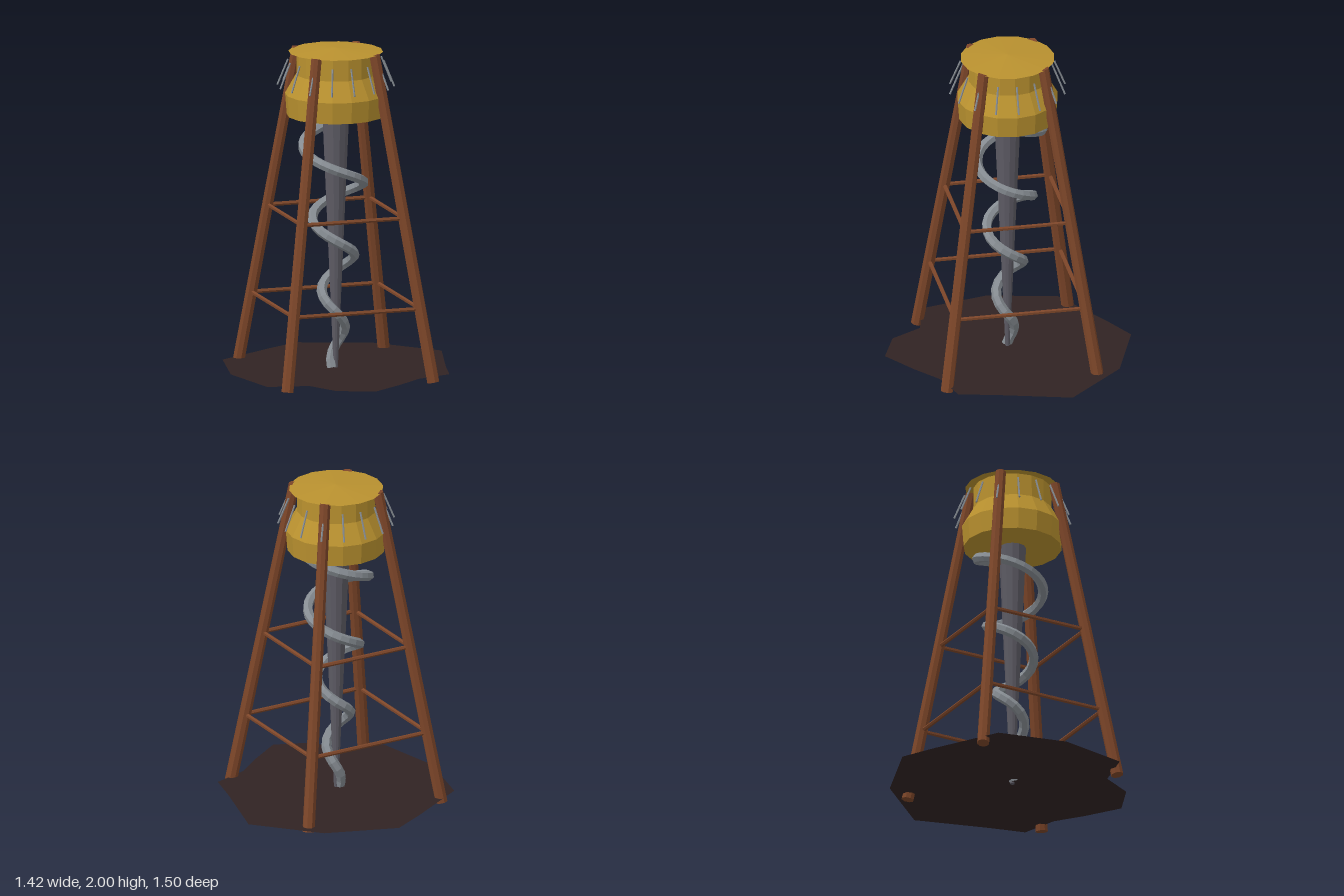
import * as THREE from 'three';

const mat = (name, color, side = THREE.FrontSide) => {
  const m = new THREE.MeshStandardMaterial({ color, side, flatShading: true });
  m.name = name;
  return m;
};

export function createModel() {
  const model = new THREE.Group();
  model.name = 'drillTower';

  const brass = mat('brass', 0xb9912f);
  const wood = mat('rustyBrown', 0x7d4629);
  const steel = mat('steel', 0x868c92, THREE.DoubleSide);
  const darkSteel = mat('darkSteel', 0x5d5b64);
  const soil = mat('darkSoil', 0x302323, THREE.DoubleSide);

  // Everything but the soil is centred on the drill axis
  const tower = new THREE.Group();
  tower.name = 'tower';
  tower.position.x = -0.045;
  model.add(tower);

  const add = (parent, name, geometry, material) => {
    const mesh = new THREE.Mesh(geometry, material);
    mesh.name = name;
    parent.add(mesh);
    return mesh;
  };

  const up = new THREE.Vector3(0, 1, 0);
  const rod = (name, a, b, rTop, rBottom, sides, material) => {
    const from = new THREE.Vector3(...a), to = new THREE.Vector3(...b);
    const dir = to.clone().sub(from);
    const mesh = add(tower, name, new THREE.CylinderGeometry(rTop, rBottom, dir.length(), sides), material);
    mesh.position.copy(from).add(to).multiplyScalar(0.5);
    mesh.quaternion.setFromUnitVectors(up, dir.normalize());
  };

  // Irregular patch of soil, as x, z pairs
  const outline = [
    [-0.04, -0.755], [0.39, -0.6], [0.71, -0.25], [0.585, 0.2], [0.535, 0.415],
    [0.315, 0.485], [0.16, 0.61], [-0.045, 0.75], [-0.265, 0.66], [-0.37, 0.47],
    [-0.62, 0.415], [-0.71, 0], [-0.62, -0.42], [-0.245, -0.645],
  ];
  const patch = new THREE.Shape(outline.map(([x, z]) => new THREE.Vector2(x, -z)));
  const ground = add(model, 'soilPatch', new THREE.ShapeGeometry(patch).rotateX(-Math.PI / 2), soil);
  ground.position.y = 0.04;

  // Housing: lower ring, sloped shoulder and neck
  const profile = [[0, 1.59], [0.295, 1.59], [0.305, 1.72], [0.237, 1.84], [0.235, 1.98]];
  add(tower, 'housing', new THREE.LatheGeometry(profile.map(p => new THREE.Vector2(...p)), 16), brass);
  // Shallow conical lid
  const lid = [[0, 1.974], [0.285, 1.978], [0, 2]];
  add(tower, 'lid', new THREE.LatheGeometry(lid.map(p => new THREE.Vector2(...p)), 16), brass);

  // Splayed fins around the housing
  for (let i = 0; i < 16; i++) {
    const a = i / 16 * Math.PI * 2, c = Math.cos(a), s = Math.sin(a);
    rod('fin', [0.352 * c, 1.768, 0.352 * s], [0.288 * c, 1.925, 0.288 * s], 0.006, 0.006, 5, steel);
  }

  // Tapered drill shaft
  add(tower, 'drillShaft', new THREE.CylinderGeometry(0.083, 0.013, 1.59, 12), darkSteel)
    .position.y = 0.825;

  // Widening spiral around the shaft
  class Spiral extends THREE.Curve {
    getPoint(t, target = new THREE.Vector3()) {
      const y = 0.037 + 1.558 * t;
      const a = Math.PI * (1 + 7 * t);
      const r = 0.02 + 0.127 * y;
      return target.set(r * Math.cos(a), y, r * Math.sin(a));
    }
  }
  add(tower, 'drillSpiral', new THREE.TubeGeometry(new Spiral(), 64, 0.031, 6, false), steel);

  // Four leaning legs
  const spread = y => 0.463 - 0.141 * y;
  for (const sx of [-1, 1]) for (const sz of [-1, 1]) {
    const b = spread(0.008), t = spread(1.978);
    rod('leg', [sx * b, 0.008, sz * b], [sx * t, 1.978, sz * t], 0.033, 0.038, 8, wood);
  }

  // Two square frames of cross braces
  for (const y of [0.45, 0.995]) {
    const d = spread(y);
    for (const s of [-1, 1]) {
      rod('sideBrace', [s * d, y, -d], [s * d, y, d], 0.013, 0.013, 6, wood);
      rod('crossBrace', [-d, y, s * d], [d, y, s * d], 0.013, 0.013, 6, wood);
    }
  }

  return model;
}
